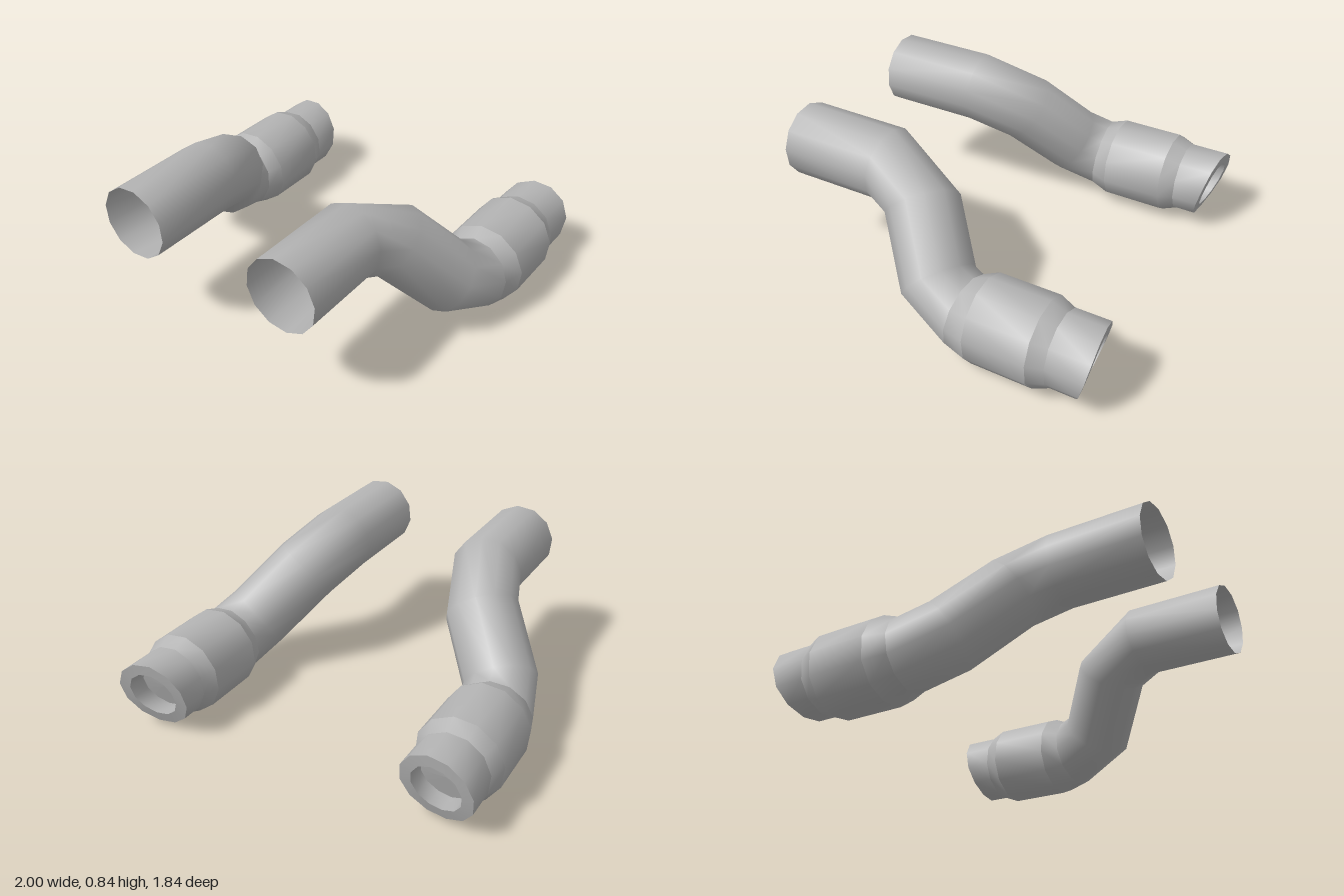
import * as THREE from 'three';

const SIDES = 12;
const PHASE = THREE.MathUtils.degToRad(9);
const PIPE_R = 0.19, SLEEVE_R = 0.2225, HOLE_R = 0.13;
const REAR = [0.78, 0.22]; // x, y of the rear axis

// Polygon ring around a centre, square to a direction of travel
function ring(center, dir, r) {
  const q = new THREE.Quaternion().setFromUnitVectors(
    new THREE.Vector3(0, 0, -1), new THREE.Vector3(...dir).normalize());
  return Array.from({ length: SIDES }, (_, i) => {
    const a = PHASE + (i / SIDES) * Math.PI * 2;
    return new THREE.Vector3(Math.cos(a) * r, Math.sin(a) * r, 0)
      .applyQuaternion(q).add(new THREE.Vector3(...center));
  });
}

// Straight ring on the rear axis
const rearRing = (z, r) => ring([...REAR, z], [0, 0, -1], r);

// Slanted, slightly curved ring at the outlet, pushed inward by depth
function outletRing(r, depth = 0) {
  return rearRing(0, r).map((p) => {
    const sx = (p.x - REAR[0]) / PIPE_R, sy = (p.y - REAR[1]) / PIPE_R;
    p.z = -0.885 - 0.046 * sy - 0.02 * sx + 0.013 * sy * sy + depth;
    return p;
  });
}

// Smooth skin through successive rings; side -1 mirrors it
function skin(rings, side) {
  const pos = [], index = [];
  rings.forEach((pts) => pts.forEach((p) => pos.push(p.x * side, p.y, p.z)));
  for (let k = 0; k < rings.length - 1; k++) {
    for (let i = 0; i < SIDES; i++) {
      const j = (i + 1) % SIDES;
      const a = k * SIDES + i, b = k * SIDES + j;
      const c = a + SIDES, d = b + SIDES;
      if (side > 0) index.push(a, c, b, b, c, d);
      else index.push(a, b, c, b, d, c);
    }
  }
  const g = new THREE.BufferGeometry();
  g.setAttribute('position', new THREE.Float32BufferAttribute(pos, 3));
  g.setIndex(index);
  g.computeVertexNormals();
  return g;
}

export function createModel() {
  const model = new THREE.Group();
  model.name = 'exhaustPipes';
  const metal = new THREE.MeshStandardMaterial({ color: 0xb4b4b4, side: THREE.DoubleSide });
  metal.name = 'greyMetal';

  const joint = () => ring([0.782, 0.222, -0.22], [0.08, -0.1, -0.99], PIPE_R);
  const floorRing = outletRing(HOLE_R, 0.1);
  const floorCentre = floorRing.map(() => new THREE.Vector3(...REAR, -0.785));

  const parts = {
    // Bent pipe, open at the front
    bentPipe: [
      ring([0.445, 0.65, 0.92], [0, 0, -1], PIPE_R),
      ring([0.445, 0.65, 0.42], [0.08, -0.1, -0.99], PIPE_R),
      ring([0.53, 0.548, 0.172], [0.5, -0.64, -0.58], PIPE_R),
      ring([0.73, 0.292, -0.035], [0.46, -0.58, -0.67], PIPE_R),
      joint(),
    ],
    // Wider sleeve with tapered ends
    sleeveFrontTaper: [joint(), rearRing(-0.32, SLEEVE_R)],
    sleeve: [rearRing(-0.32, SLEEVE_R), rearRing(-0.64, SLEEVE_R)],
    sleeveRearTaper: [rearRing(-0.64, SLEEVE_R), rearRing(-0.72, PIPE_R)],
    // Outlet with a thick rim and a shallow bore
    outlet: [rearRing(-0.72, PIPE_R), outletRing(PIPE_R)],
    outletRim: [outletRing(PIPE_R), outletRing(HOLE_R)],
    boreWall: [outletRing(HOLE_R), floorRing],
    boreFloor: [floorRing, floorCentre],
  };

  for (const side of [1, -1]) {
    const pipe = new THREE.Group();
    pipe.name = side > 0 ? 'leftPipe' : 'rightPipe';
    for (const [name, rings] of Object.entries(parts)) {
      const mesh = new THREE.Mesh(skin(rings, side), metal);
      mesh.name = name;
      pipe.add(mesh);
    }
    model.add(pipe);
  }
  return model;
}
